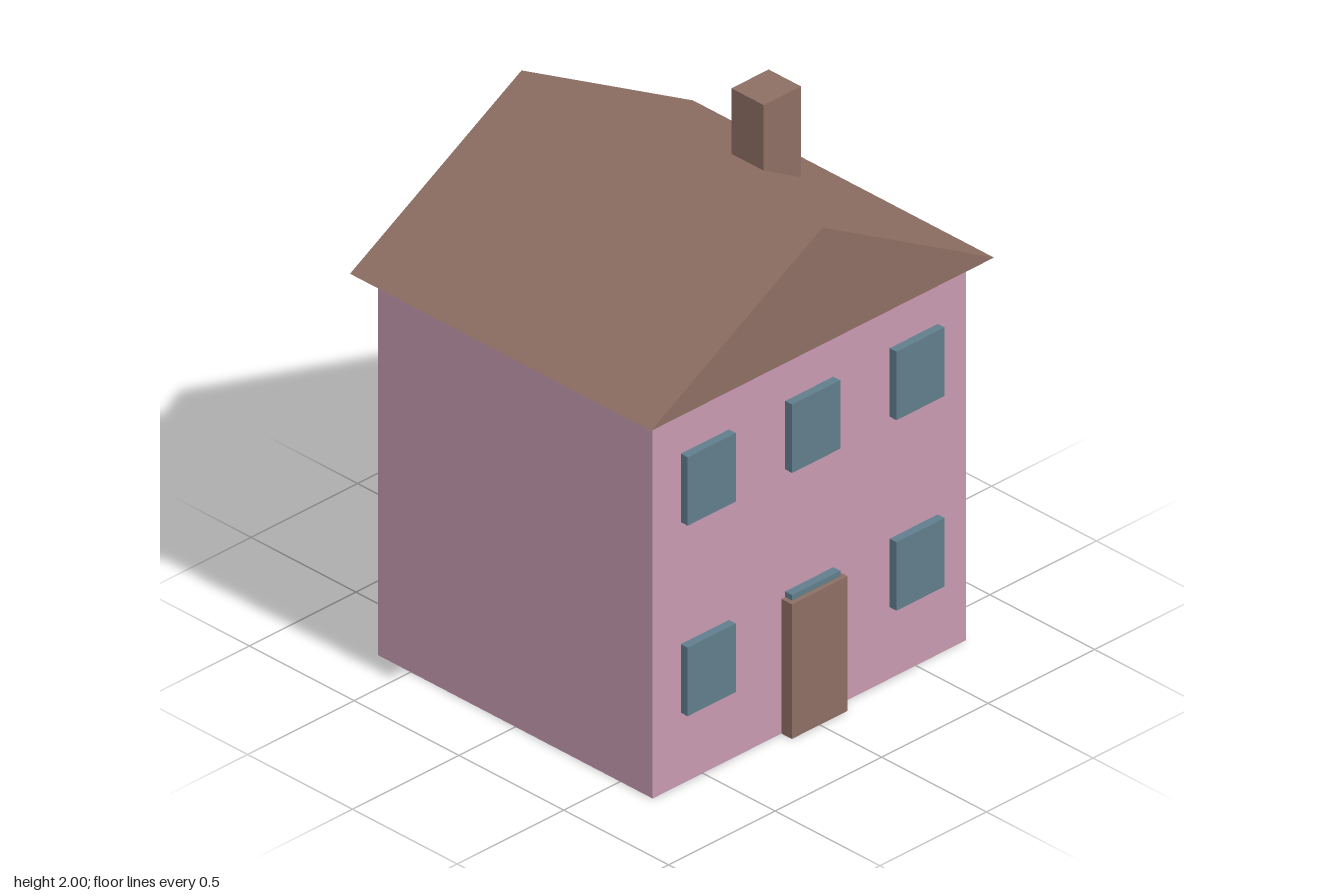
import * as THREE from 'three';

const pink = new THREE.MeshStandardMaterial({ color: 0xc799b0 });
pink.name = 'pink wall';
const brown = new THREE.MeshStandardMaterial({ color: 0x8d6e63 });
brown.name = 'brown';
const blue = new THREE.MeshStandardMaterial({ color: 0x607d8b });
blue.name = 'blue grey glass';

export function createModel() {
  const house = new THREE.Group();
  house.name = 'house';

  const box = (name, material, size, position) => {
    const mesh = new THREE.Mesh(new THREE.BoxGeometry(...size), material);
    mesh.name = name;
    mesh.position.set(...position);
    house.add(mesh);
  };

  // Walls
  box('walls', pink, [1.47, 1.49, 1.31], [0, 0.745, 0]);

  // Gabled roof: a triangular prism overhanging the walls
  const gable = new THREE.Shape();
  gable.moveTo(-0.805, 1.49);
  gable.lineTo(0.805, 1.49);
  gable.lineTo(0, 1.945);
  gable.closePath();
  const roofGeometry = new THREE.ExtrudeGeometry(gable, { depth: 1.436, bevelEnabled: false });
  roofGeometry.translate(0, 0, -0.718);
  const roof = new THREE.Mesh(roofGeometry, brown);
  roof.name = 'roof';
  house.add(roof);

  // Chimney, sunk into the left slope
  box('chimney', brown, [0.175, 0.44, 0.154], [0.442, 1.78, 0]);

  // Front door
  box('door', brown, [0.262, 0.525, 0.1], [0, 0.2625, 0.655]);

  // Three windows per storey, front and back
  for (const [side, z] of [['front', 0.655], ['back', -0.655]]) {
    for (const y of [0.413, 1.156]) {
      for (const x of [-0.49, 0, 0.49]) {
        box(`${side}Window`, blue, [0.226, 0.267, 0.066], [x, y, z]);
      }
    }
  }

  return house;
}
